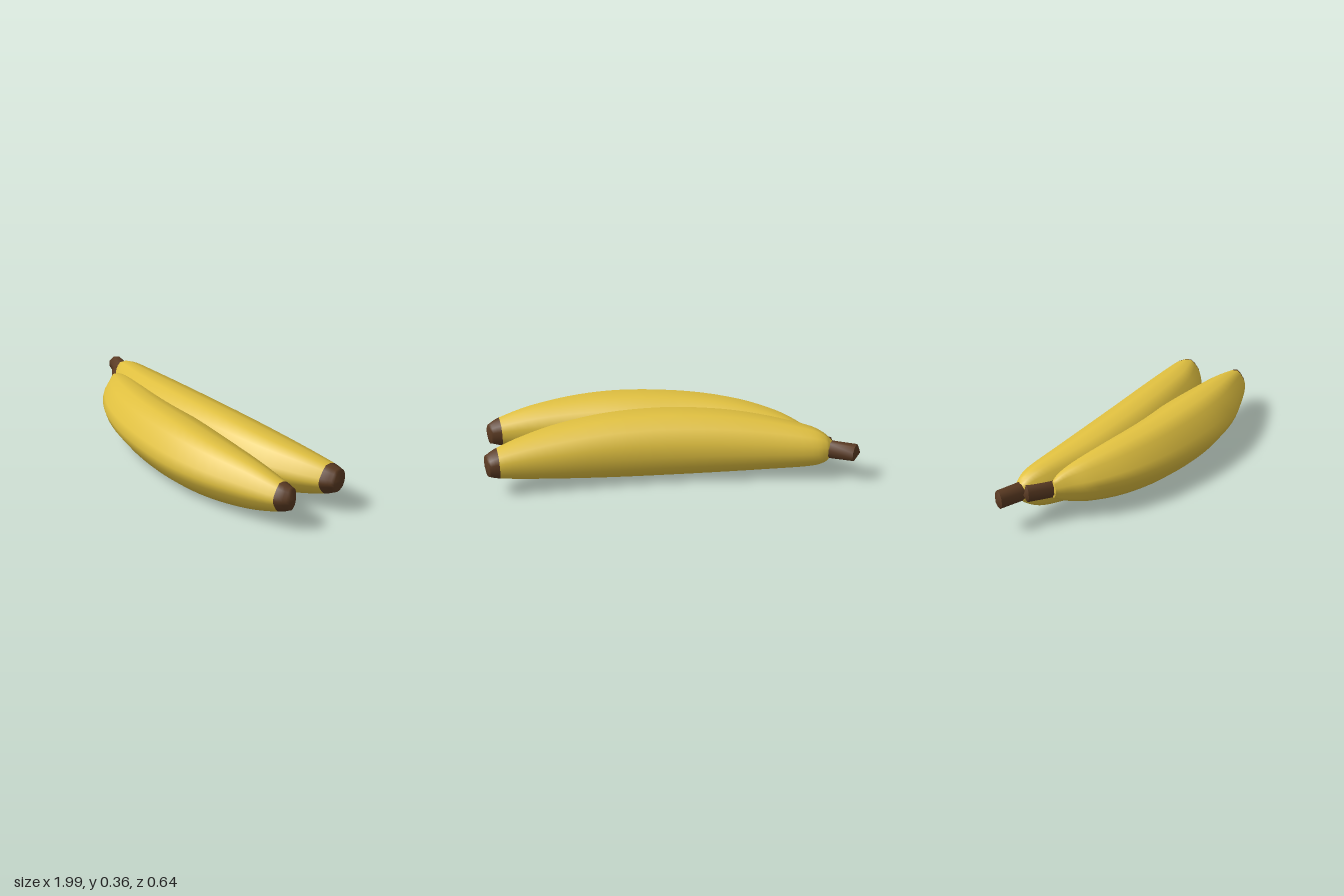
import * as THREE from 'three';

const MID_Y = 0.181;

// Upper half of the cross-section: [towards outer curve, up]
const HALF = [[1, 0], [0.91, 0.3], [0.57, 0.76], [0.28, 1], [-0.2, 0.98], [-0.69, 0.78], [-0.93, 0.4], [-1, 0]];
const SECTION = [...HALF, ...HALF.slice(1, -1).reverse().map(([u, v]) => [u, -v])];
const STEM_SECTION = Array.from({ length: 8 }, (_, i) => {
  const a = (i / 8) * Math.PI * 2 + Math.PI / 8;
  return [Math.cos(a) * 1.06, Math.sin(a) * 1.06];
});

// Lofts a section through stations [innerX, innerZ, outerX, outerZ, halfHeight].
// The last `tipSpans` spans and the rounded end use the second material group.
function loft(stations, section, steps, tipSpans, bulge) {
  const inner = new THREE.CatmullRomCurve3(stations.map(s => new THREE.Vector3(s[0], s[4], s[1])), false, 'catmullrom', 0.5);
  const outer = new THREE.CatmullRomCurve3(stations.map(s => new THREE.Vector3(s[2], s[4], s[3])), false, 'catmullrom', 0.5);
  const n = section.length;
  const rows = (stations.length - 1) * steps;
  const pos = [], idx = [];

  const addRing = (t) => {
    const a = inner.getPoint(t), b = outer.getPoint(t);
    const c = a.clone().add(b).multiplyScalar(0.5);
    const h = b.clone().sub(a).multiplyScalar(0.5);
    for (const [u, v] of section) pos.push(c.x + h.x * u, MID_Y + a.y * v, c.z + h.z * u);
    return c;
  };
  let end;
  for (let i = 0; i <= rows; i++) end = addRing(i / rows);

  // Closed start with a sharp rim
  const startRing = pos.length / 3;
  const start = addRing(0);
  pos.push(start.x - bulge, MID_Y, start.z);
  for (let j = 0; j < n; j++) idx.push(startRing + n, startRing + j, startRing + (j + 1) % n);

  // Side walls
  let split = 0;
  for (let i = 0; i < rows; i++) {
    if (i === rows - tipSpans * steps) split = idx.length;
    for (let j = 0; j < n; j++) {
      const k = (j + 1) % n;
      const a = i * n + j, b = i * n + k;
      idx.push(a, a + n, b, b, a + n, b + n);
    }
  }

  // Smoothly closed end
  const endRing = rows * n;
  const endPoint = pos.length / 3;
  pos.push(end.x + bulge, MID_Y, end.z);
  for (let j = 0; j < n; j++) idx.push(endPoint, endRing + (j + 1) % n, endRing + j);

  const g = new THREE.BufferGeometry();
  g.setAttribute('position', new THREE.Float32BufferAttribute(pos, 3));
  g.setIndex(idx);
  if (tipSpans) {
    g.addGroup(0, split, 0);
    g.addGroup(split, idx.length - split, 1);
  }
  g.computeVertexNormals();
  return g;
}

const BACK_BODY = [
  [-0.838, -0.262, -0.862, -0.185, 0.045],
  [-0.815, -0.275, -0.80, -0.135, 0.083],
  [-0.74, -0.284, -0.70, -0.07, 0.112],
  [-0.5, -0.27, -0.45, 0.03, 0.147],
  [-0.25, -0.258, -0.22, 0.078, 0.17],
  [0.03, -0.255, 0.05, 0.095, 0.18],
  [0.3, -0.265, 0.35, 0.07, 0.172],
  [0.55, -0.285, 0.61, 0.008, 0.145],
  [0.75, -0.302, 0.80, -0.08, 0.113],
  [0.9, -0.317, 0.93, -0.16, 0.08],
  [0.957, -0.319, 0.99, -0.21, 0.056],
];
const FRONT_BODY = [
  [-0.74, -0.12, -0.757, -0.075, 0.045],
  [-0.68, -0.14, -0.70, -0.015, 0.078],
  [-0.55, -0.135, -0.6, 0.085, 0.113],
  [-0.35, -0.1, -0.4, 0.2, 0.145],
  [-0.1, -0.055, -0.12, 0.282, 0.164],
  [0.2, -0.032, 0.22, 0.317, 0.17],
  [0.45, -0.012, 0.5, 0.292, 0.156],
  [0.7, 0.003, 0.76, 0.216, 0.124],
  [0.9, 0.011, 0.93, 0.143, 0.078],
  [0.96, 0.017, 0.99, 0.088, 0.055],
];
const BACK_STEM = [
  [-0.95, -0.31, -0.993, -0.237, 0.045],
  [-0.82, -0.268, -0.85, -0.185, 0.046],
];
const FRONT_STEM = [
  [-0.83, -0.22, -0.865, -0.165, 0.045],
  [-0.71, -0.13, -0.755, -0.085, 0.046],
];

export function createModel() {
  const peel = new THREE.MeshStandardMaterial({ color: 0xe0c040 });
  peel.name = 'yellow peel';
  const brown = new THREE.MeshStandardMaterial({ color: 0x5a3a22 });
  brown.name = 'brown stem';

  const model = new THREE.Group();
  model.name = 'bananaBunch';

  const addBanana = (name, body, stem) => {
    const banana = new THREE.Group();
    banana.name = name;
    const fruit = new THREE.Mesh(loft(body, SECTION, 4, 1, 0.01), [peel, brown]);
    fruit.name = 'fruitAndTip';
    const stalk = new THREE.Mesh(loft(stem, STEM_SECTION, 1, 0, 0.025), brown);
    stalk.name = 'stem';
    banana.add(fruit, stalk);
    model.add(banana);
  };
  addBanana('backBanana', BACK_BODY, BACK_STEM);
  addBanana('frontBanana', FRONT_BODY, FRONT_STEM);
  return model;
}
